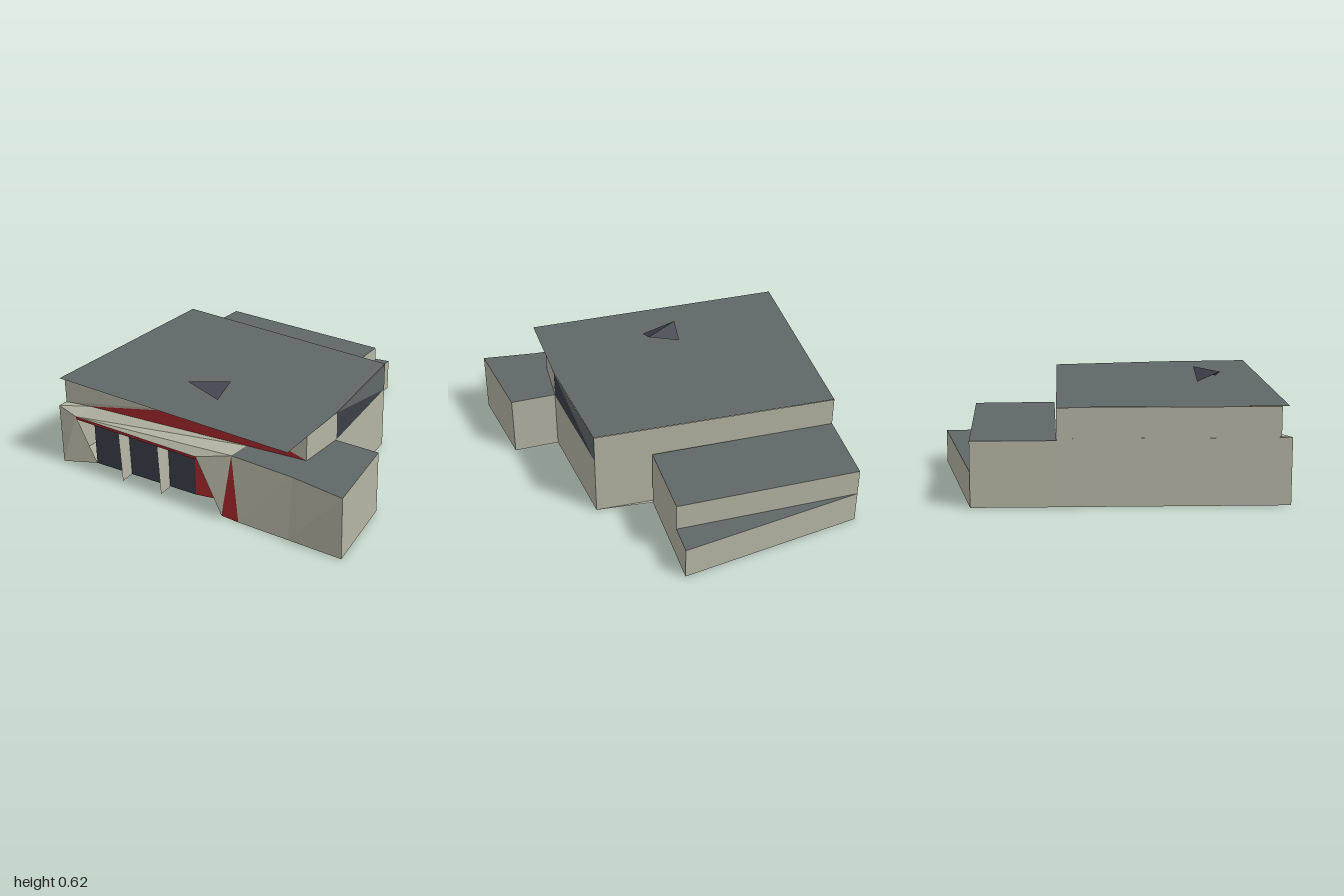
import * as THREE from 'three';

const paint = (name, color) => {
  const m = new THREE.MeshStandardMaterial({ color, side: THREE.DoubleSide });
  m.name = name;
  return m;
};

export function createModel() {
  const beige = paint('beige wall', 0xb4b4a4);
  const grey = paint('grey roof', 0x5f6867);
  const dark = paint('dark glazing', 0x3b4049);
  const red = paint('red panel', 0xa3262a);
  const model = new THREE.Group();
  model.name = 'house';

  const add = (name, geometry, material) => {
    const mesh = new THREE.Mesh(geometry, material);
    mesh.name = name;
    model.add(mesh);
    return mesh;
  };

  // Flat-shaded convex panel from corners listed counter-clockwise
  const panel = (name, material, ...pts) => {
    const pos = [];
    for (let i = 1; i < pts.length - 1; i++) pos.push(...pts[0], ...pts[i], ...pts[i + 1]);
    const g = new THREE.BufferGeometry();
    g.setAttribute('position', new THREE.Float32BufferAttribute(pos, 3));
    g.computeVertexNormals();
    return add(name, g, material);
  };

  // Horizontal sheet from an [x, z] outline, facing up or down
  const sheet = (name, material, y, outline, up = true) => {
    const s = up ? -1 : 1;
    const shape = new THREE.Shape(outline.map(([x, z]) => new THREE.Vector2(x, s * z)));
    const g = new THREE.ShapeGeometry(shape).rotateX(s * Math.PI / 2).translate(0, y, 0);
    return add(name, g, material);
  };

  // Vertical walls along an open [x, z] path
  const walls = (name, y0, y1, path) => {
    for (let i = 0; i < path.length - 1; i++) {
      const [a, b] = [path[i], path[i + 1]];
      panel(name, beige, [a[0], y0, a[1]], [b[0], y0, b[1]], [b[0], y1, b[1]], [a[0], y1, a[1]]);
    }
  };

  const low = 0.38, top = 0.55, wing = 0.37, step = 0.2;

  // Floor
  sheet('floor', beige, 0, [
    [-1, -0.96], [0.28, -0.99], [0.75, -1], [0.995, 0.1], [0.33, 0.14], [0.32, 0.485], [-0.38, 0.605],
    [-0.36, 0.88], [-0.88, 0.99], [-0.9, 0.65], [-0.92, 0.25], [-0.8, 0.05], [-0.83, -0.06], [-0.9, -0.78],
  ], false);

  // Lower storey front and front wing
  walls('lowerWall', 0, low, [[-0.88, 0.99], [-0.36, 0.88], [-0.38, 0.605], [0.32, 0.485]]);
  sheet('frontWingRoof', grey, low, [
    [-0.87, 0.24], [-0.86, 0.65], [-0.88, 0.99], [-0.36, 0.88], [-0.38, 0.605], [-0.67, 0.61], [-0.73, 0.24],
  ]);
  panel('frontWingSideWall', beige, [-0.9, 0, 0.65], [-0.88, 0, 0.99], [-0.88, low, 0.99], [-0.86, low, 0.65]);
  panel('frontWingSideWall', beige, [-0.92, 0, 0.32], [-0.9, 0, 0.65], [-0.86, low, 0.65], [-0.87, low, 0.24]);

  // Main block side and back
  walls('mainSideWall', 0, top, [[0.32, 0.485], [0.28, -0.99]]);
  panel('mainBackWall', beige, [0.28, 0, -0.99], [-1, 0, -0.96], [-1, low, -0.96], [0.28, low, -0.99]);
  walls('upperBackWall', low, top, [[0.28, -0.99], [-0.94, -0.96]]);

  // Lower wing and its wedge-shaped step
  walls('sideWingWall', 0, wing, [[0.33, 0.14], [0.81, 0.11]]);
  walls('sideWingWall', step, wing, [[0.81, 0.11], [0.75, -1]]);
  walls('sideWingBackWall', 0, wing, [[0.75, -1], [0.28, -0.99]]);
  sheet('sideWingRoof', grey, wing, [[0.28, -0.99], [0.75, -1], [0.81, 0.11], [0.325, 0.14]]);
  walls('stepWall', 0, step, [[0.81, 0.11], [0.995, 0.1], [0.75, -1]]);
  sheet('stepRoof', grey, step, [[0.75, -1], [0.995, 0.1], [0.81, 0.11]]);

  // Clerestory, split diagonally into glazing and grey panel
  panel('clerestoryGlazing', dark, [-0.37, low, 0.605], [0.32, low, 0.485], [-0.37, top, 0.605]);
  panel('clerestoryPanel', grey, [0.32, low, 0.485], [0.32, top, 0.485], [-0.37, top, 0.605]);
  walls('upperFrontWall', low, top, [[-0.67, 0.61], [-0.37, 0.605]]);

  // Upper entrance-side wall with a red triangle
  const back = [-0.9, low, -0.8], peak = [-0.75, top, 0.12], front = [-0.67, low, 0.61];
  panel('upperRedPanel', red, back, front, peak);
  panel('upperSideWall', beige, front, [-0.67, top, 0.61], peak);
  panel('upperSideWall', beige, [-0.94, low, -0.96], back, peak, [-0.94, top, -0.96]);

  // Overhanging main roof
  sheet('mainRoof', grey, top + 0.002, [
    [-0.98, -0.96], [0.28, -0.99], [0.32, 0.485], [-0.38, 0.605], [-0.905, 0.652],
  ]);

  // Folded skylight
  const ridgeA = [-0.67, 0.62, -0.23], ridgeB = [-0.525, 0.62, -0.03];
  panel('skylight', dark, ridgeA, [-0.66, 0.56, -0.02], ridgeB);
  panel('skylight', dark, ridgeA, ridgeB, [-0.535, 0.56, -0.23]);

  // Entrance canopy with red edge
  const outA = [-0.98, 0.33, -0.85], outB = [-0.93, 0.33, 0.03];
  panel('canopy', beige, outA, outB, [-0.87, low, 0.24], [-0.73, low, 0.24], back);
  panel('canopyEdge', red, [-0.98, 0.312, -0.85], [-0.93, 0.312, 0.03], outB, outA);

  // Recessed entrance wall
  panel('entranceGlazing', dark, [-0.9, 0, -0.78], [-0.83, 0, -0.06], [-0.83, 0.34, -0.06], [-0.9, 0.34, -0.78]);
  panel('entranceRedPanel', red, [-0.83, 0, -0.06], [-0.8, 0, 0.05], [-0.8, 0.35, 0.05], [-0.83, 0.35, -0.06]);
  panel('entranceReturn', beige, [-0.8, 0, 0.05], [-0.92, 0, 0.2], outB);
  panel('entranceReturn', beige, [-0.92, 0, 0.2], [-0.87, low, 0.24], outB);
  panel('entranceReturn', beige, [-0.8, 0, 0.05], outB, [-0.8, 0.36, 0.05]);
  panel('redWallTriangle', red, [-0.92, 0, 0.2], [-0.92, 0, 0.32], [-0.87, low, 0.24]);

  // Tapered back pier
  panel('backPier', beige, [-1, 0, -0.96], [-0.9, 0, -0.78], outA, [-1, low, -0.96]);
  panel('backPierCap', beige, [-1, low, -0.96], outA, back, [-0.94, low, -0.96]);

  // Canopy fins
  for (const [x, z] of [[-0.965, -0.51], [-0.945, -0.23]]) {
    panel('canopyFin', beige, [x, 0, z], [x + 0.09, 0, z - 0.01], [x + 0.11, 0.335, z - 0.02], [x + 0.005, 0.325, z - 0.02]);
  }

  return model;
}
